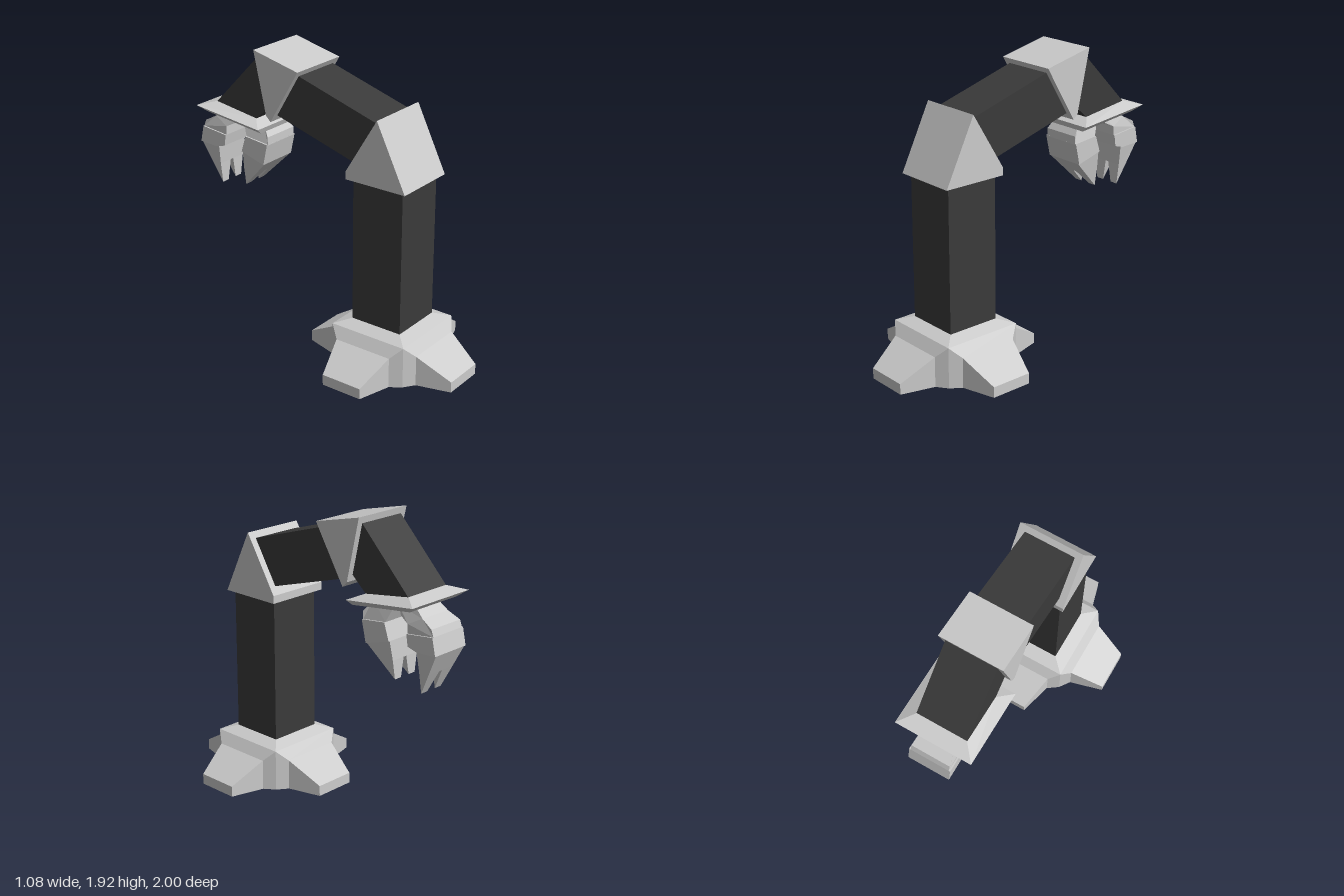
import * as THREE from 'three';

const grey = new THREE.MeshStandardMaterial({ color: 0xcccccc, flatShading: true });
const dark = new THREE.MeshStandardMaterial({ color: 0x3a3a3a, flatShading: true });

// Faceted solid from triangles given as lists of corner points
function facets(name, tris, material) {
  const geo = new THREE.BufferGeometry();
  geo.setAttribute('position', new THREE.Float32BufferAttribute(tris.flat(2), 3));
  geo.computeVertexNormals();
  const mesh = new THREE.Mesh(geo, material);
  mesh.name = name;
  return mesh;
}

const quad = (a, b, c, d) => [[a, b, c], [a, c, d]];

// Side profile of [z, y, x0, x1] points, spanning x0..x1 at each point
function prism(name, profile, material) {
  const flat = (p) => p.map(([z, y]) => new THREE.Vector2(-z, y));
  let pts = profile;
  if (THREE.ShapeUtils.area(flat(pts)) < 0) pts = [...pts].reverse();
  const lo = pts.map(([z, y, x0]) => [x0, y, z]);
  const hi = pts.map(([z, y, , x1]) => [x1, y, z]);
  const tris = [];
  for (const [a, b, c] of THREE.ShapeUtils.triangulateShape(flat(pts), [])) {
    tris.push([hi[a], hi[b], hi[c]], [lo[c], lo[b], lo[a]]);
  }
  pts.forEach((_, i) => {
    const j = (i + 1) % pts.length;
    tris.push(...quad(hi[i], lo[i], lo[j], hi[j]));
  });
  return facets(name, tris, material);
}

// Symmetric profile; w is a common half width, or the third value of a point
const sym = (pts, w) => pts.map(([z, y, own = w]) => [z, y, -own, own]);

// Cross-shaped foot: four sloping legs around a square collar
function foot() {
  const tris = [];
  const down = (p) => [p[0], 0, p[2]];
  for (let k = 0; k < 4; k++) {
    const c = Math.round(Math.cos(k * Math.PI / 2)), s = Math.round(Math.sin(k * Math.PI / 2));
    const P = (r, y, t) => [r * c + t * s, y, -r * s + t * c];
    const toe = [P(0.54, 0.07, 0.14), P(0.54, 0.07, -0.14)];
    const knee = [P(0.32, 0.2, 0.2), P(0.32, 0.2, -0.2)];
    const hip = [P(0.27, 0.27, 0.27), P(0.27, 0.27, -0.27)];
    const neck = [P(0.18, 0.3, 0.18), P(0.18, 0.3, -0.18)];
    const rows = [toe, knee, hip, neck];
    for (let i = 0; i < 3; i++) {
      tris.push(...quad(rows[i][0], rows[i][1], rows[i + 1][1], rows[i + 1][0]));
    }
    tris.push([neck[0], neck[1], [0, 0.3, 0]]);
    // Upright walls and underside
    const rim = [hip[0], knee[0], toe[0], toe[1], knee[1], hip[1]];
    for (let i = 0; i < 5; i++) {
      const a = rim[i], b = rim[i + 1];
      tris.push(...quad(a, down(a), down(b), b));
      tris.push([down(b), down(a), [0, 0, 0]]);
    }
  }
  const mesh = facets('foot', tris, grey);
  mesh.position.z = 0.46;
  return mesh;
}

// Tilted wrist flange: rings of [zFront, yFront, zBack, yBack, halfWidth]
function wristPlate() {
  const rings = [
    [-0.42, 1.388, -0.861, 1.441, 0.21],
    [-0.405, 1.425, -0.917, 1.484, 0.255],
    [-0.49, 1.463, -0.815, 1.511, 0.17],
  ].map(([zf, yf, zb, yb, w]) => [[-w, yf, zf], [w, yf, zf], [w, yb, zb], [-w, yb, zb]]);
  const tris = [...quad(...rings[2]), ...quad(...[...rings[0]].reverse())];
  for (let r = 0; r < 2; r++) {
    for (let i = 0; i < 4; i++) {
      const j = (i + 1) % 4;
      tris.push(...quad(rings[r][i], rings[r][j], rings[r + 1][j], rings[r + 1][i]));
    }
  }
  return facets('wristPlate', tris, grey);
}

// Finger: upper link, knuckle, and a claw ending in two prongs
function finger(name, { upper, knuckle, claw, notch, tip }) {
  const group = new THREE.Group();
  group.name = name;
  group.add(prism('fingerLink', sym(upper, 0.13), grey));
  group.add(prism('knuckle', sym(knuckle, 0.14), grey));
  group.add(prism('claw', sym([...claw.map((p) => [...p, 0.13]), ...notch.map((p) => [...p, 0.11])]), grey));
  for (const side of [-1, 1]) {
    const span = (p, inner, outer) => [...p, ...(side > 0 ? [inner, outer] : [-outer, -inner])];
    group.add(prism('prong', [
      span(notch[0], 0.012, 0.11), span(notch[1], 0.012, 0.11), span(tip, 0.035, 0.09),
    ], grey));
  }
  return group;
}

export function createModel() {
  const model = new THREE.Group();
  model.name = 'roboticArm';

  model.add(foot());

  const column = new THREE.Mesh(new THREE.BoxGeometry(0.36, 0.96, 0.36), dark);
  column.name = 'column';
  column.position.set(0, 0.775, 0.46);
  model.add(column);

  // Joints and arm sections
  model.add(prism('lowerElbow', sym([[0.678, 1.246], [0.472, 1.666], [0.247, 1.297], [0.247, 1.246]], 0.215), grey));
  model.add(prism('upperArm', sym([[0.47, 1.62], [0.35, 1.325], [-0.35, 1.53], [-0.2, 1.823]], 0.17), dark));
  model.add(prism('upperElbow', sym([[-0.12, 1.842], [-0.464, 1.922], [-0.373, 1.516], [-0.338, 1.481]], 0.21), grey));
  model.add(prism('forearm', sym([[-0.43, 1.905], [-0.355, 1.58], [-0.49, 1.46], [-0.815, 1.508]], 0.17), dark));
  model.add(wristPlate());

  // Gripper
  model.add(finger('frontFinger', {
    upper: [[-0.485, 1.41, 0.1], [-0.432, 1.334], [-0.431, 1.28], [-0.609, 1.305], [-0.66, 1.42, 0.1]],
    knuckle: [[-0.431, 1.285], [-0.464, 1.142], [-0.645, 1.195], [-0.609, 1.305]],
    claw: [[-0.645, 1.195], [-0.464, 1.142]],
    notch: [[-0.56, 1.045], [-0.655, 1.07]],
    tip: [-0.657, 0.947],
  }));
  model.add(finger('backFinger', {
    upper: [[-0.68, 1.425, 0.1], [-0.716, 1.366, 0.115], [-0.78, 1.334], [-0.78, 1.275],
      [-0.973, 1.297], [-0.957, 1.34], [-0.877, 1.383, 0.115], [-0.81, 1.44, 0.1]],
    knuckle: [[-0.78, 1.275], [-0.791, 1.2], [-0.86, 1.18], [-0.997, 1.187], [-0.973, 1.297]],
    claw: [[-0.85, 1.182], [-0.995, 1.187]],
    notch: [[-0.929, 1.05], [-0.858, 1.05]],
    tip: [-0.861, 0.912],
  }));

  return model;
}
